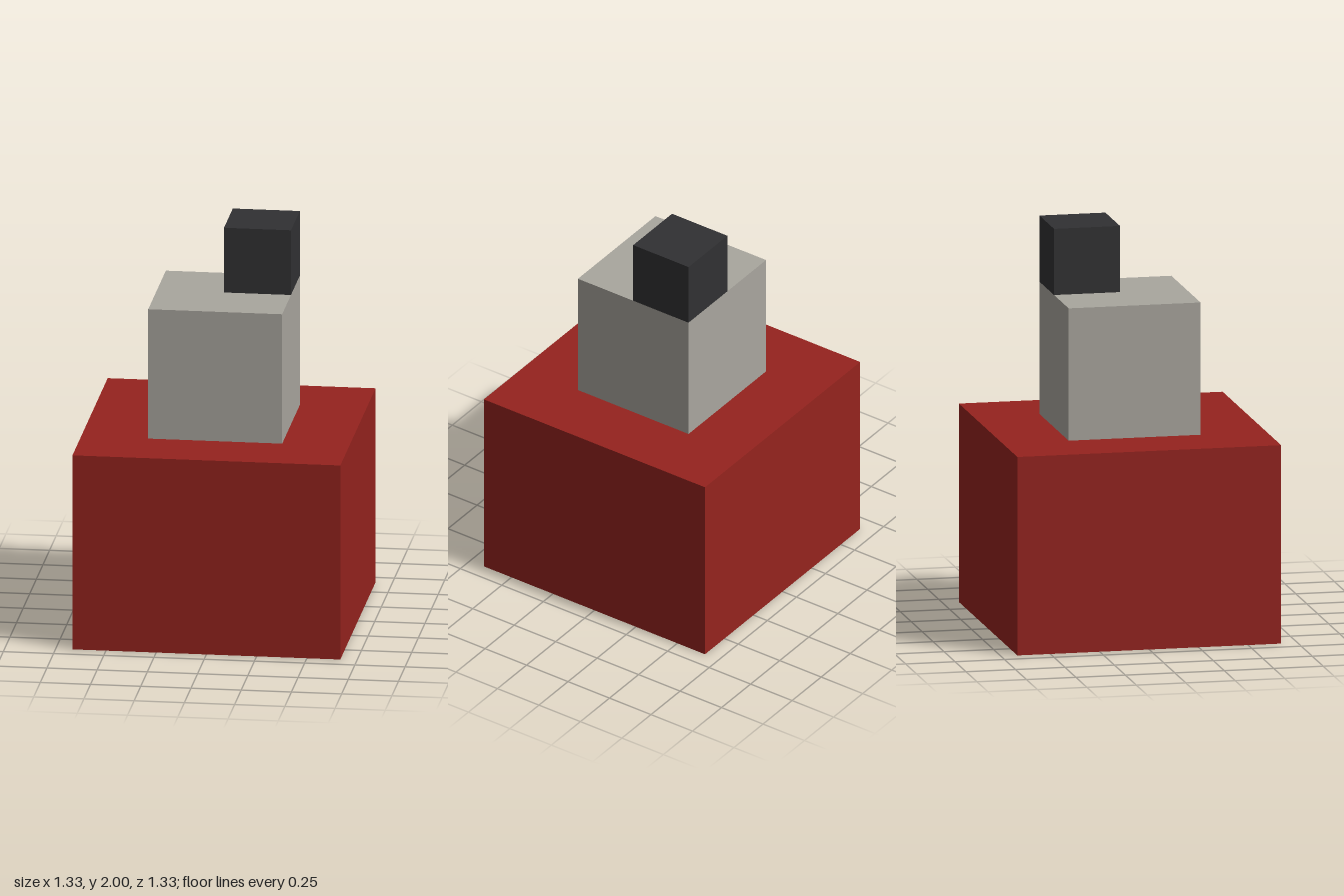
import * as THREE from 'three';

const U = 1 / 3; // module size: every part is a multiple of a third

// Box of w x h x d modules, its bottom centre at (x, y, z) modules
function block(name, color, [w, h, d], [x, y, z]) {
  const mesh = new THREE.Mesh(
    new THREE.BoxGeometry(w * U, h * U, d * U),
    new THREE.MeshStandardMaterial({ color })
  );
  mesh.name = name;
  mesh.position.set(x * U, (y + h / 2) * U, z * U);
  return mesh;
}

export function createModel() {
  const model = new THREE.Group();
  model.name = 'steppedBlocks';
  model.add(
    block('base', 0x95231e, [4, 3, 4], [0, 0, 0]),
    block('middleBlock', 0xa9a69e, [2, 2, 2], [0, 3, 0]),
    // Small cube set on the back left corner of the middle block
    block('topCube', 0x313133, [1, 1, 1], [0.5, 5, -0.5])
  );
  return model;
}
